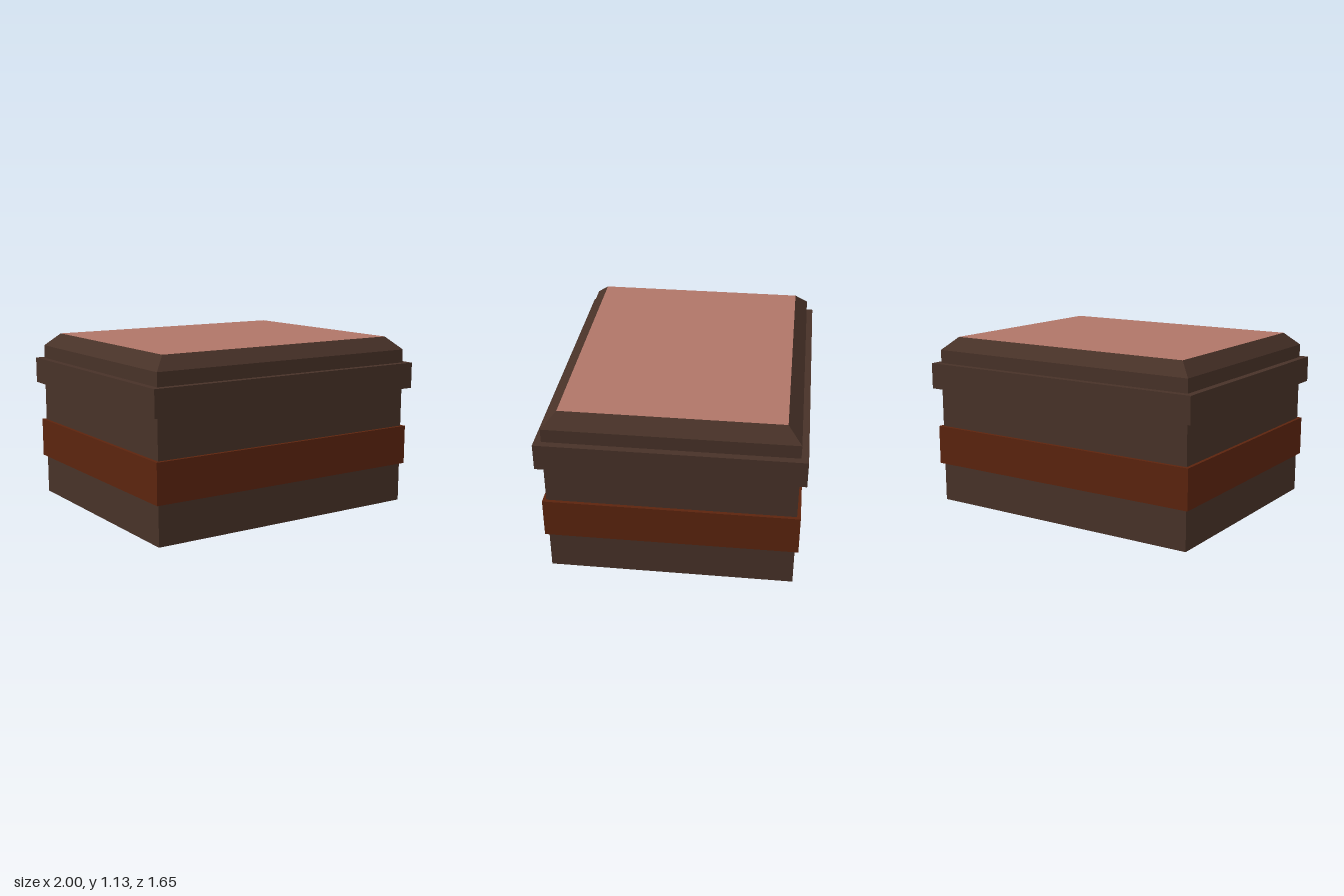
import * as THREE from 'three';

const mat = (name, color) => {
  const m = new THREE.MeshStandardMaterial({ color, side: THREE.DoubleSide });
  m.name = name;
  return m;
};

// Open-bottomed rectangular shell through rings [halfWidth, y, halfDepth], optionally capped
function shell(rings, capped) {
  const corners = rings.map(([x, y, z]) => [[-x, y, z], [x, y, z], [x, y, -z], [-x, y, -z]]);
  const pos = [];
  const quad = (a, b, c, d) => pos.push(...a, ...b, ...c, ...a, ...c, ...d);
  for (let r = 0; r < corners.length - 1; r++) {
    const lo = corners[r], hi = corners[r + 1];
    for (let i = 0; i < 4; i++) {
      const j = (i + 1) % 4;
      quad(lo[i], lo[j], hi[j], hi[i]);
    }
  }
  if (capped) quad(...corners[corners.length - 1]);
  const geo = new THREE.BufferGeometry();
  geo.setAttribute('position', new THREE.Float32BufferAttribute(pos, 3));
  geo.computeVertexNormals();
  return geo;
}

export function createModel() {
  const brown = mat('darkBrown', 0x483228);
  const rust = mat('rustBrown', 0x5c240e);
  const pink = mat('dustyPink', 0xb07668);

  const group = new THREE.Group();
  group.name = 'box';
  const add = (name, geo, material) => {
    const mesh = new THREE.Mesh(geo, material);
    mesh.name = name;
    group.add(mesh);
    return mesh;
  };

  // Hollow body with a bevelled upper edge
  add('body', shell([[0.955, 0, 0.78], [0.955, 1.045, 0.78], [0.868, 1.13, 0.693]], false), brown);

  // Band around the middle; its top closes the hollow from below
  add('band', shell([[0.977, 0.262, 0.803], [0.977, 0.522, 0.803]], true), rust);

  // Projecting rim near the top
  add('rim', shell([[1, 0.785, 0.825], [1, 0.957, 0.825]], true), brown);

  // Flat top panel
  const panel = add('topPanel', new THREE.PlaneGeometry(1.736, 1.386), pink);
  panel.rotation.x = -Math.PI / 2;
  panel.position.y = 1.13;

  return group;
}
